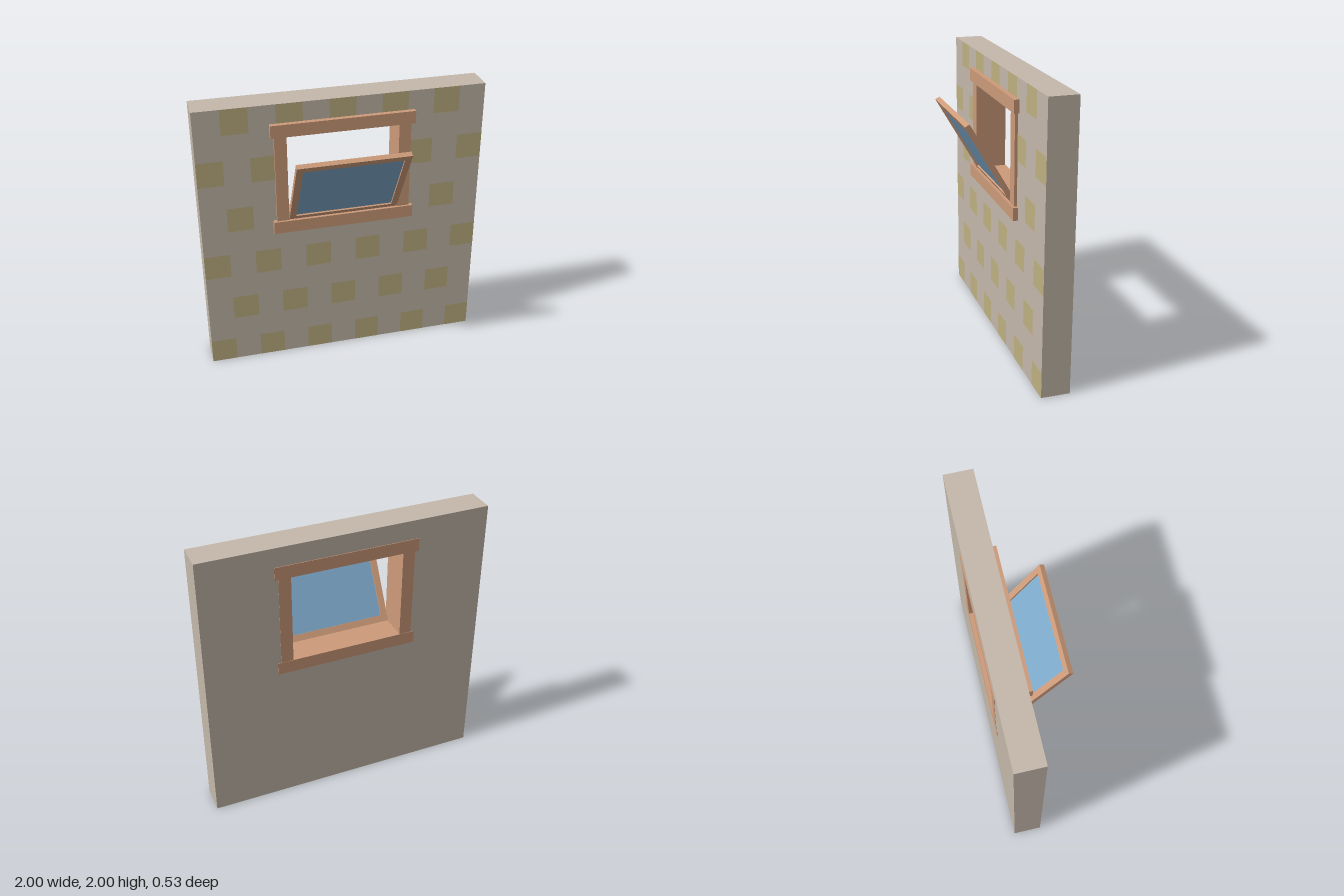
import * as THREE from 'three';

const material = (color) => new THREE.MeshStandardMaterial({ color });

export function createModel() {
  const model = new THREE.Group();
  const wallMat = material(0xc4b8aa);
  const tileMat = material(0xbfb082);
  const woodMat = material(0xcd9b7a);
  const glassMat = material(0x7fabcc);

  // Box given by its lower and upper corners
  function box(parent, name, mat, [x0, y0, z0], [x1, y1, z1]) {
    const mesh = new THREE.Mesh(new THREE.BoxGeometry(x1 - x0, y1 - y0, z1 - z0), mat);
    mesh.position.set((x0 + x1) / 2, (y0 + y1) / 2, (z0 + z1) / 2);
    mesh.name = name;
    parent.add(mesh);
  }

  const back = -0.26, front = -0.06;
  const openX = 0.39, openLow = 1.14, openHigh = 1.775;

  // Wall slab with a hole for the window
  const outline = new THREE.Shape([[-1, 0], [1, 0], [1, 2], [-1, 2]].map((p) => new THREE.Vector2(...p)));
  const hx = openX + 0.02, hl = openLow - 0.02, hh = openHigh + 0.02;
  outline.holes.push(new THREE.Path([[-hx, hl], [-hx, hh], [hx, hh], [hx, hl]].map((p) => new THREE.Vector2(...p))));
  const wall = new THREE.Mesh(
    new THREE.ExtrudeGeometry(outline, { depth: front - back, bevelEnabled: false }), wallMat);
  wall.position.z = back;
  wall.name = 'wall';
  model.add(wall);

  // Staggered squares on the front of the wall, left out around the window
  const tiles = new THREE.Group();
  tiles.name = 'wallSquares';
  const size = 2 / 11;
  for (let row = 0; row < 11; row += 2) {
    for (let col = (row / 2) % 2; col < 11; col += 2) {
      const x = -1 + (col + 0.5) * size, y = (row + 0.5) * size;
      if (Math.abs(x) < 0.5 && y > 1.05 && y < 1.86) continue;
      const tile = new THREE.Mesh(new THREE.PlaneGeometry(size, size), tileMat);
      tile.position.set(x, y, front + 0.001);
      tile.name = 'wallSquare';
      tiles.add(tile);
    }
  }
  model.add(tiles);

  // Fixed frame running through the wall
  const frame = new THREE.Group();
  frame.name = 'windowFrame';
  box(frame, 'sill', woodMat, [-0.5, 1.05, back - 0.004], [0.5, openLow, -0.025]);
  box(frame, 'header', woodMat, [-0.5, openHigh, back - 0.004], [0.5, 1.865, -0.025]);
  box(frame, 'rightJamb', woodMat, [-0.475, openLow, back - 0.002], [-openX, openHigh, -0.04]);
  box(frame, 'leftJamb', woodMat, [openX, openLow, back - 0.002], [0.475, openHigh, -0.04]);
  model.add(frame);

  // Sash hinged at the bottom, tilted outwards
  const sash = new THREE.Group();
  sash.name = 'sash';
  const w = 0.388, h = 0.3175, d = 0.0175, rail = 0.045;
  box(sash, 'bottomRail', woodMat, [-w, -h, -d], [w, -h + rail, d]);
  box(sash, 'topRail', woodMat, [-w, h - rail, -d], [w, h, d]);
  box(sash, 'rightStile', woodMat, [-w, -h + rail, -d], [-w + rail, h - rail, d]);
  box(sash, 'leftStile', woodMat, [w - rail, -h + rail, -d], [w, h - rail, d]);
  box(sash, 'glass', glassMat, [-w + rail, -h + rail, -0.006], [w - rail, h - rail, 0.006]);
  sash.position.set(0, 1.414, 0.091);
  sash.rotation.x = Math.PI / 6;
  model.add(sash);

  return model;
}
